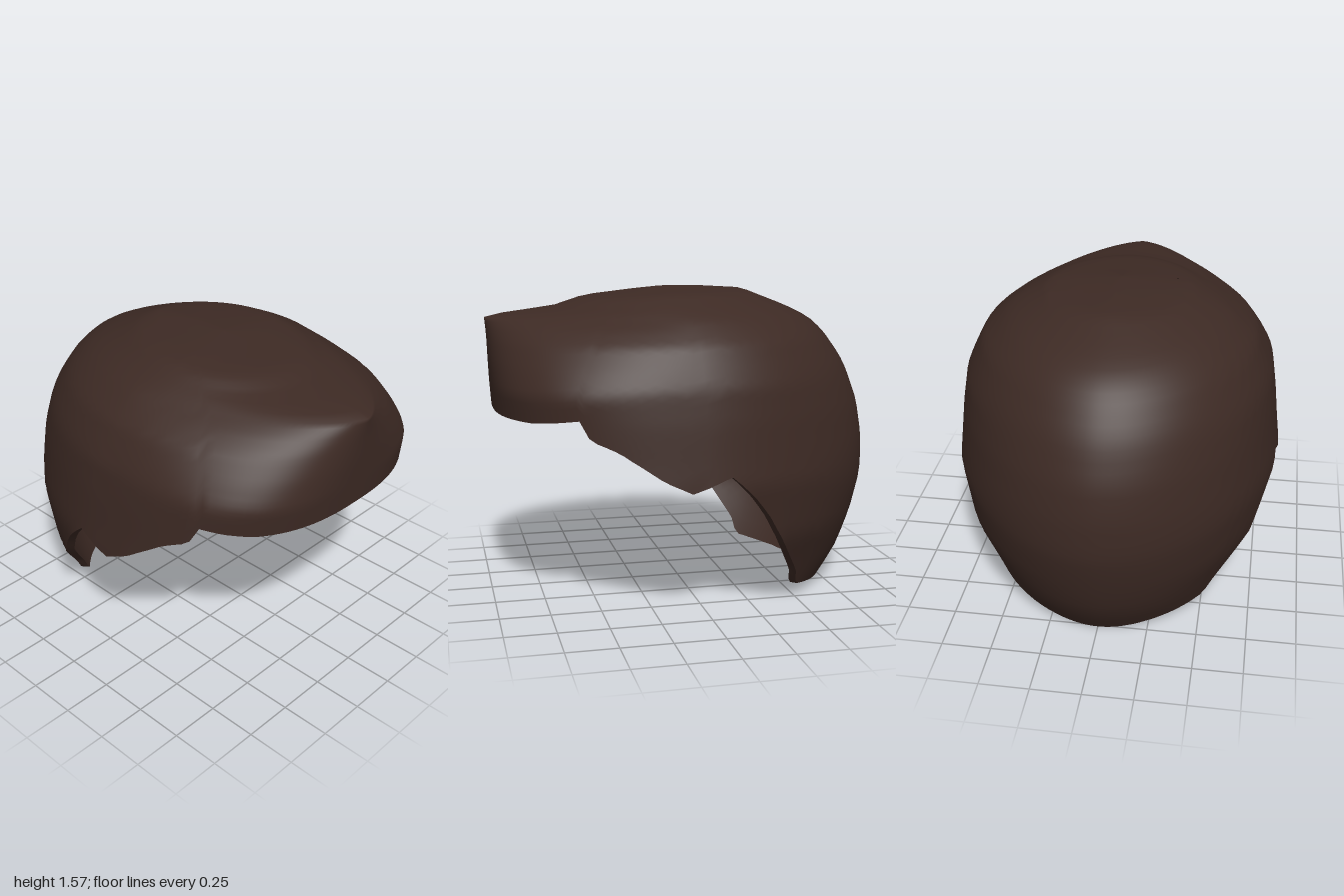
import * as THREE from 'three';
import { mergeVertices } from 'three/addons/utils/BufferGeometryUtils.js';

const COLS = 144, ROWS = 32, TOP = 1.565, MID_Z = 0.05;

// Shell extents by height: [y, half width, front z, back z]
const LEVELS = [
  [0, 0.66, 0.95, -0.76], [0.07, 0.69, 0.95, -0.81], [0.2, 0.725, 0.95, -0.89],
  [0.38, 0.81, 0.95, -0.95], [0.58, 0.835, 0.95, -1], [0.66, 0.85, 0.95, -1],
  [0.78, 0.835, 0.96, -1], [0.96, 0.815, 0.97, -0.97], [1.12, 0.79, 0.98, -0.91],
  [1.2, 0.755, 0.985, -0.87], [1.31, 0.7, 0.99, -0.79], [1.375, 0.63, 0.995, -0.73],
  [1.425, 0.57, 1, -0.65], [1.465, 0.5, 0.66, -0.56], [1.515, 0.4, 0.5, -0.43],
  [1.535, 0.36, 0.3, -0.38], [1.55, 0.2, 0.2, -0.34], [1.565, 0, 0.1, -0.1],
];

// Squareness of the front half by height: blunt fringe, pointed peak above it
const FRONT_POWER = [
  [0.8, 2.5], [0.96, 2.6], [1.08, 2.75], [1.2, 2.35], [1.31, 1.95],
  [1.375, 1.7], [1.425, 1.42], [1.465, 1.75], [1.52, 2],
];
const BACK_POWER = 1.87;

// Lower edge height by depth: [z, y]
const RIM = [
  [-0.77, 0], [-0.76, 0], [-0.71, 0.03], [-0.5, 0.07], [-0.485, 0.16], [-0.27, 0.51],
  [-0.18, 0.62], [-0.07, 0.72], [0.12, 0.65], [0.25, 0.71], [0.46, 0.85],
  [0.58, 0.9], [0.62, 0.99], [0.83, 0.96], [1, 0.96],
];

// Piecewise linear lookup of one column of a table
function lookup(table, v, k) {
  if (v <= table[0][0]) return table[0][k];
  for (let i = 1; i < table.length; i++) {
    const a = table[i - 1], b = table[i];
    if (v <= b[0]) return a[k] + (b[k] - a[k]) * (v - a[0]) / (b[0] - a[0]);
  }
  return table[table.length - 1][k];
}

// Point on the outer shell, whose level outlines are superellipses
function shellPoint(angle, y) {
  const s = Math.sin(angle), c = Math.cos(angle);
  const p = 2 / (c > 0 ? lookup(FRONT_POWER, y, 1) : BACK_POWER);
  const end = lookup(LEVELS, y, c > 0 ? 2 : 3) - MID_Z;
  return new THREE.Vector3(
    lookup(LEVELS, y, 1) * Math.sign(s) * Math.abs(s) ** p, y,
    MID_Z + end * Math.abs(c) ** p);
}

// First height, going down, at which a column meets the lower edge
function rimHeight(angle) {
  let y = 1.2;
  while (y > 0 && y > lookup(RIM, shellPoint(angle, y).z, 1)) y -= 0.002;
  return Math.max(y, 0);
}

// Surface from a grid of points, columns running around the head
function gridGeometry(rows, pointAt) {
  const pos = [], index = [];
  for (let j = 0; j <= rows; j++) {
    for (let i = 0; i < COLS; i++) pos.push(...pointAt(i, j).toArray());
  }
  for (let j = 0; j < rows; j++) {
    for (let i = 0; i < COLS; i++) {
      const n = (i + 1) % COLS;
      const a = j * COLS + i, b = j * COLS + n;
      index.push(a, a + COLS, b, b, a + COLS, b + COLS);
    }
  }
  const geo = new THREE.BufferGeometry();
  geo.setAttribute('position', new THREE.Float32BufferAttribute(pos, 3));
  geo.setIndex(index);
  const merged = mergeVertices(geo, 1e-4);
  merged.computeVertexNormals();
  return merged;
}

export function createModel() {
  const group = new THREE.Group();
  group.name = 'hairCap';
  const material = new THREE.MeshStandardMaterial({ color: 0x3d2a24, side: THREE.DoubleSide });

  const angles = Array.from({ length: COLS }, (_, i) => i / COLS * Math.PI * 2);
  const rims = angles.map(rimHeight);

  const outer = (i, j) =>
    shellPoint(angles[i], TOP - (TOP - rims[i]) * (j / ROWS) ** 1.7);

  // Lining, slightly smaller than the outside and sharing its lower edge height
  const inner = (i, j) => {
    const p = outer(i, j);
    p.x *= 0.945;
    p.z = MID_Z + (p.z - MID_Z) * 0.95;
    p.y = rims[i] + (p.y - rims[i]) * 0.95;
    return p;
  };

  const add = (name, geometry) => {
    const mesh = new THREE.Mesh(geometry, material);
    mesh.name = name;
    group.add(mesh);
  };
  add('outerHair', gridGeometry(ROWS, outer));
  add('hairEdge', gridGeometry(1, (i, j) => (j ? inner : outer)(i, ROWS)));
  add('innerLining', gridGeometry(ROWS, (i, j) => inner(i, ROWS - j)));
  return group;
}
